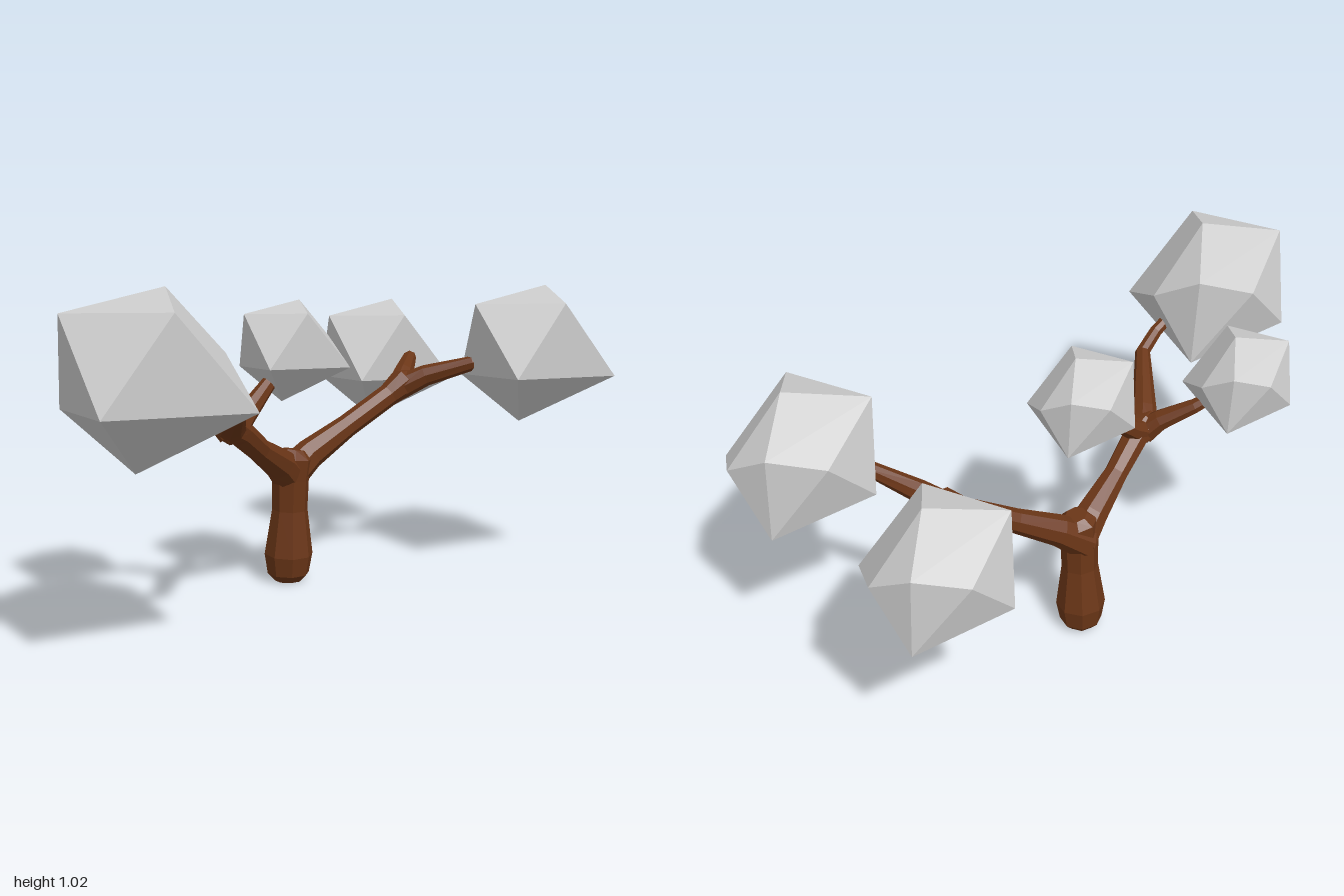
import * as THREE from 'three';
import { ConvexGeometry } from 'three/addons/geometries/ConvexGeometry.js';

const SIDES = 8;

// Low-poly limb: rings of given radius swept along [x, y, z, radius] stations
function limbGeometry(stations) {
  const pts = stations.map(s => new THREE.Vector3(s[0], s[1], s[2]));
  const pos = [], index = [], last = pts.length - 1;
  pts.forEach((p, i) => {
    const t = pts[Math.min(i + 1, last)].clone().sub(pts[Math.max(i - 1, 0)]).normalize();
    const ref = Math.abs(t.z) > 0.85 ? new THREE.Vector3(1, 0, 0) : new THREE.Vector3(0, 0, 1);
    const u = ref.clone().addScaledVector(t, -ref.dot(t)).normalize();
    const v = new THREE.Vector3().crossVectors(t, u);
    for (let k = 0; k < SIDES; k++) {
      const a = (k + 0.5) / SIDES * Math.PI * 2;
      const q = p.clone()
        .addScaledVector(u, Math.cos(a) * stations[i][3])
        .addScaledVector(v, Math.sin(a) * stations[i][3]);
      pos.push(q.x, q.y, q.z);
    }
  });
  for (let i = 0; i < last; i++) {
    for (let k = 0; k < SIDES; k++) {
      const a = i * SIDES + k, b = i * SIDES + (k + 1) % SIDES;
      index.push(a, b, a + SIDES, b, b + SIDES, a + SIDES);
    }
  }
  // End caps
  const top = last * SIDES;
  for (let k = 1; k < SIDES - 1; k++) {
    index.push(0, k + 1, k);
    index.push(top, top + k, top + k + 1);
  }
  const g = new THREE.BufferGeometry();
  g.setAttribute('position', new THREE.Float32BufferAttribute(pos, 3));
  g.setIndex(index);
  g.computeVertexNormals();
  return g;
}

export function createModel() {
  const tree = new THREE.Group();
  tree.name = 'tree';
  const bark = new THREE.MeshStandardMaterial({ color: 0x6b3617, flatShading: true });
  const leaf = new THREE.MeshStandardMaterial({ color: 0xcccccc, flatShading: true });

  // Trunk and branches, each a list of [x, y, z, radius]
  const limbs = {
    trunk: [
      [0, 0, -0.145, 0.045], [0, 0.025, -0.145, 0.068], [0, 0.09, -0.143, 0.079],
      [0, 0.24, -0.135, 0.058], [0, 0.34, -0.13, 0.06], [0.005, 0.41, -0.125, 0.062],
      [0.01, 0.435, -0.125, 0.035],
    ],
    rightBranch: [
      [-0.01, 0.34, -0.14, 0.06], [0.08, 0.41, -0.14, 0.05], [0.22, 0.49, -0.13, 0.038],
      [0.38, 0.58, -0.12, 0.038], [0.44, 0.62, -0.115, 0.05], [0.48, 0.64, -0.115, 0.02],
    ],
    rightFrontTwig: [
      [0.42, 0.60, -0.12, 0.042], [0.49, 0.645, -0.06, 0.035], [0.6, 0.69, 0.05, 0.024],
      [0.68, 0.71, 0.1, 0.022],
    ],
    rightBackTwig: [
      [0.42, 0.60, -0.12, 0.042], [0.48, 0.64, -0.17, 0.035], [0.57, 0.68, -0.255, 0.024],
      [0.58, 0.68, -0.33, 0.022],
    ],
    leftBranch: [
      [0.01, 0.34, -0.14, 0.06], [-0.06, 0.4, -0.1, 0.052], [-0.18, 0.47, -0.03, 0.038],
      [-0.28, 0.54, 0.03, 0.042], [-0.33, 0.565, 0.05, 0.05], [-0.36, 0.58, 0.07, 0.025],
    ],
    leftFrontTwig: [
      [-0.31, 0.55, 0.03, 0.045], [-0.35, 0.58, 0.1, 0.04], [-0.46, 0.65, 0.315, 0.025],
      [-0.53, 0.69, 0.355, 0.022], [-0.59, 0.725, 0.37, 0.02],
    ],
    leftBackTwig: [
      [-0.32, 0.55, 0.04, 0.045], [-0.36, 0.595, 0.01, 0.034], [-0.45, 0.655, -0.045, 0.024],
      [-0.52, 0.7, -0.07, 0.02],
    ],
    innerTwig: [
      [-0.31, 0.55, 0.04, 0.045], [-0.26, 0.585, 0.02, 0.034], [-0.16, 0.67, -0.01, 0.024],
      [-0.11, 0.71, -0.02, 0.02],
    ],
  };
  for (const [name, stations] of Object.entries(limbs)) {
    const mesh = new THREE.Mesh(limbGeometry(stations), bark);
    mesh.name = name;
    tree.add(mesh);
  }

  // Faceted foliage clump, broad at the front and rounder at the back
  const corners = [
    [-0.24, -0.055, 0.19], [-0.04, 0.195, 0.2], [0.19, -0.07, 0.215],
    [-0.24, 0.185, -0.04], [0.03, 0.245, 0.02], [0.24, 0.055, -0.04],
    [0.165, -0.15, -0.175], [-0.045, -0.242, -0.02], [-0.025, 0.09, -0.225],
    [0.15, 0.145, -0.175], [-0.18, -0.08, -0.185],
  ].map(c => new THREE.Vector3(...c));
  const clump = new ConvexGeometry(corners);

  // Clumps: name, centre, scale
  const foliage = [
    ['leftFrontFoliage', [-0.757, 0.775, 0.395], 1],
    ['rightFrontFoliage', [0.775, 0.72, 0.15], 0.925],
    ['rightBackFoliage', [0.583, 0.658, -0.428], 0.865],
    ['leftBackFoliage', [-0.575, 0.74, -0.095], 0.645],
    ['innerFoliage', [-0.062, 0.767, -0.025], 0.645],
  ];
  for (const [name, centre, scale] of foliage) {
    const mesh = new THREE.Mesh(clump, leaf);
    mesh.name = name;
    mesh.position.set(...centre);
    mesh.scale.setScalar(scale);
    tree.add(mesh);
  }
  return tree;
}
